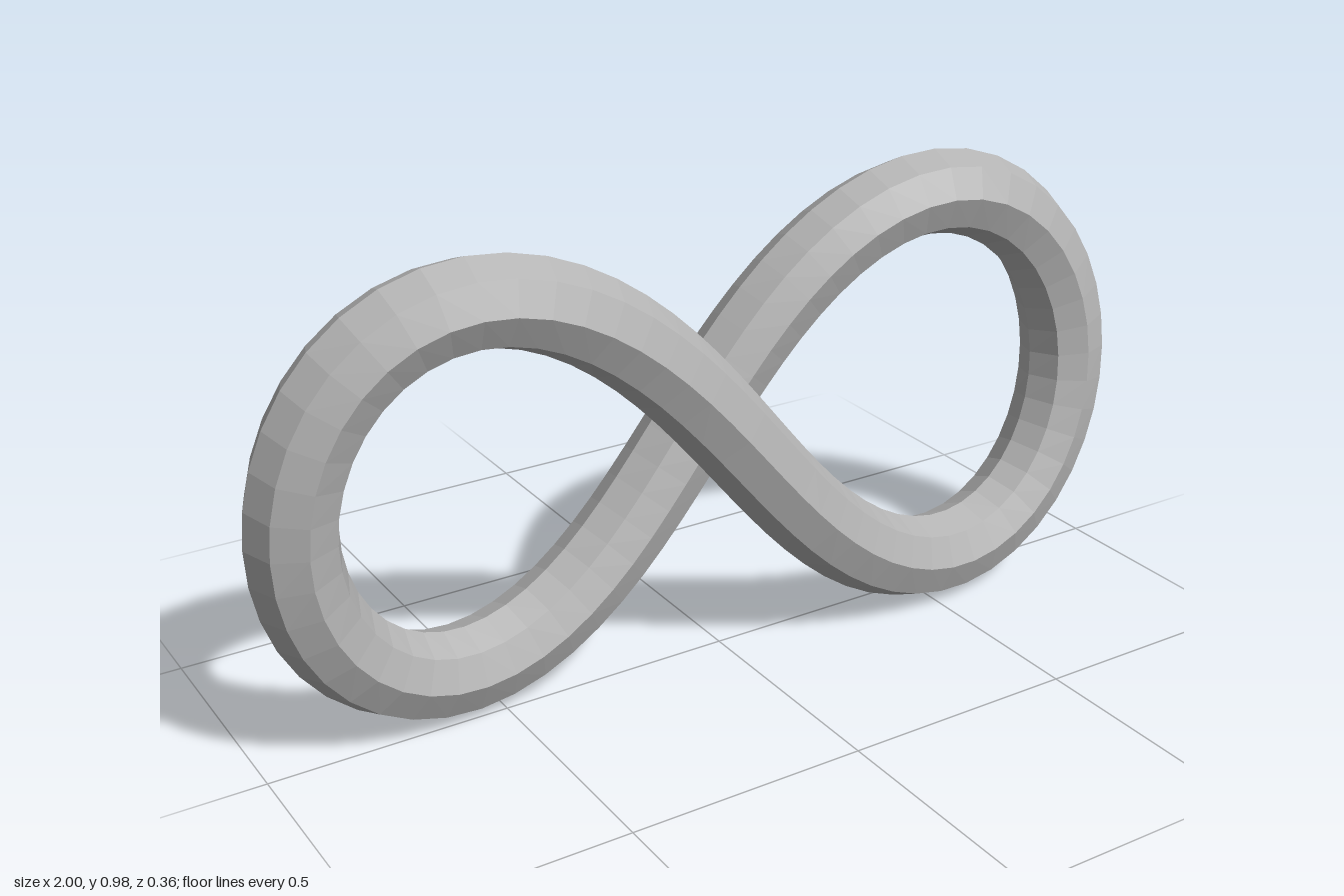
import * as THREE from 'three';

// Figure-eight centreline; the two strands pass front and back at the crossing
class FigureEight extends THREE.Curve {
  getPoint(u, target = new THREE.Vector3()) {
    const t = u * Math.PI * 2;
    const s = Math.sin(t), c = Math.cos(t), d = 1 + s * s;
    return target.set(0.909 * c / d, 0.49 + 1.123 * s * c / d, -0.09 * s);
  }
}

export function createModel() {
  const group = new THREE.Group();
  group.name = 'infinityLoop';

  const grey = new THREE.MeshStandardMaterial({ color: 0xb4b4b4, flatShading: true });
  grey.name = 'grey';

  // Closed eight-sided tube
  const curve = new FigureEight();
  curve.arcLengthDivisions = 800;
  const loop = new THREE.Mesh(new THREE.TubeGeometry(curve, 80, 0.091, 8, true), grey);
  loop.name = 'loopBand';
  group.add(loop);

  return group;
}
